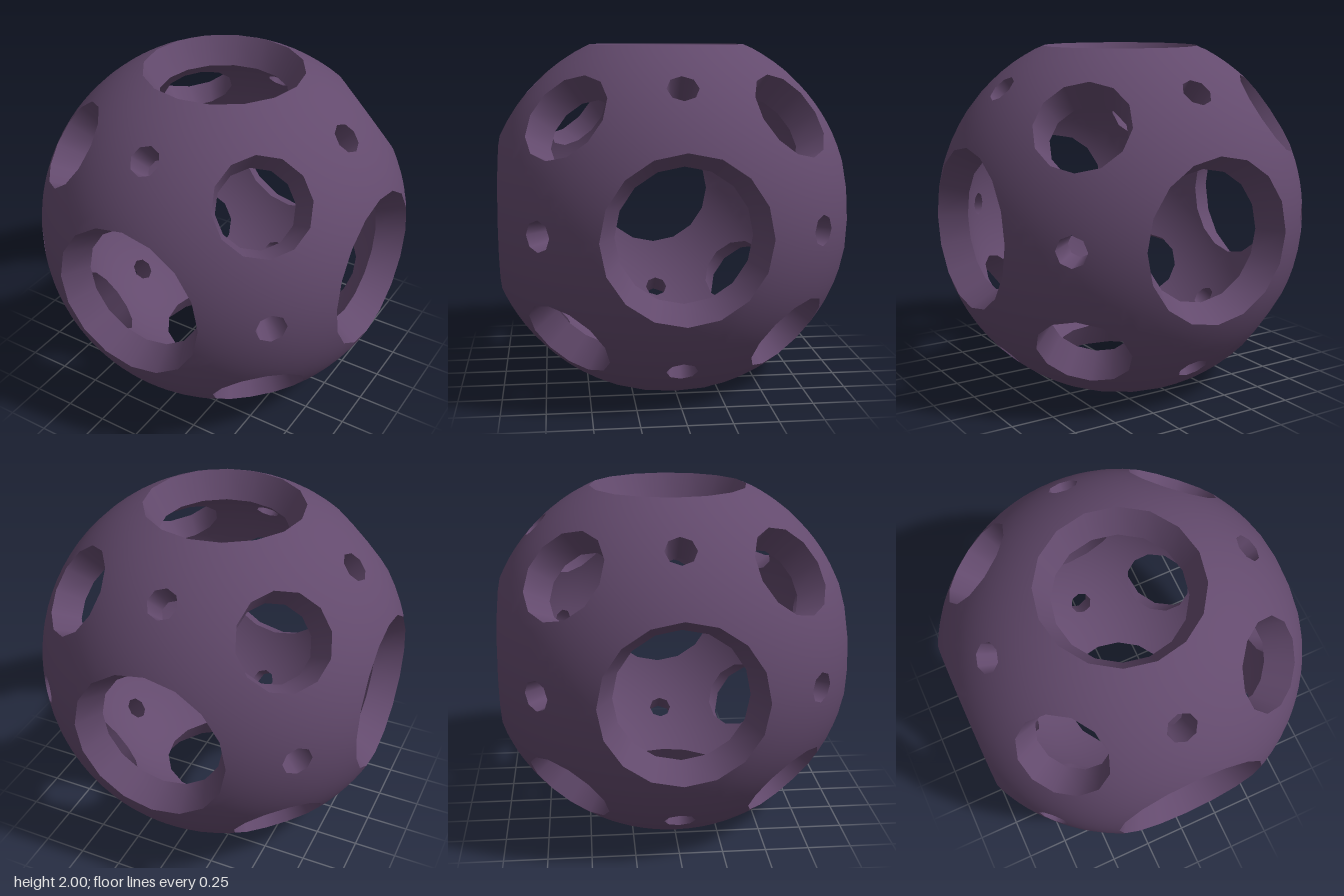
import * as THREE from 'three';

const OUTER = Math.hypot(1, 0.46); // big rims touch the unit cube
const INNER = 0.922;

const A = new THREE.Vector3(0, 0, 1);             // big hole
const C = new THREE.Vector3(1, 1, 1).normalize(); // medium hole
const E = new THREE.Vector3(0, 1, 1).normalize(); // small hole
const OUTER_RIMS = [0.46, 0.27, 0.088];
const INNER_RIMS = [0.372, 0.22, 0.07];
const PERMS = [[0, 1, 2], [1, 2, 0], [2, 0, 1], [0, 2, 1], [2, 1, 0], [1, 0, 2]]; // last three are odd
const SIGNS = [1, -1];

// direction perpendicular to a, pointing toward b
const tangent = (a, b) => b.clone().addScaledVector(a, -a.dot(b)).normalize();

// boundary of one 48th of the perforated sphere: rim arcs joined by great circles
function boundary(R, rims) {
  const centres = [A, C, E];
  const arcs = centres.map((c, i) => {
    const s = rims[i] / R, k = Math.sqrt(1 - s * s);
    const t0 = tangent(c, centres[(i + 2) % 3]), t1 = tangent(c, centres[(i + 1) % 3]);
    return [t0, t0.clone().add(t1).normalize(), t1].map(t => c.clone().multiplyScalar(k).addScaledVector(t, s));
  });
  const loop = [];
  arcs.forEach((arc, i) => {
    const next = arcs[(i + 1) % 3][0];
    loop.push(...arc);
    for (const t of [1 / 3, 2 / 3]) loop.push(arc[2].clone().lerp(next, t).normalize());
  });
  return loop;
}

// perforated sphere from 48 mirrored patches; side = 1 faces out, -1 faces in
function perforatedSphere(R, rims, side) {
  const loop = boundary(R, rims), n = loop.length, rings = 3;
  const mid = A.clone().multiplyScalar(0.27).addScaledVector(C, 0.31).addScaledVector(E, 0.42).normalize();
  const pts = [mid], tris = [];
  for (let r = 1; r <= rings; r++)
    for (const p of loop) pts.push(mid.clone().lerp(p, r / rings).normalize());
  for (let i = 0; i < n; i++) {
    const j = (i + 1) % n;
    tris.push([0, 1 + i, 1 + j]);
    for (let r = 0; r < rings - 1; r++) {
      const a = 1 + r * n + i, b = 1 + r * n + j;
      tris.push([a, a + n, b + n], [a, b + n, b]);
    }
  }
  const pos = [], nor = [], idx = [];
  PERMS.forEach((perm, k) => {
    for (const sx of SIGNS) for (const sy of SIGNS) for (const sz of SIGNS) {
      const base = pos.length / 3, s = [sx, sy, sz];
      const keep = (k < 3 ? 1 : -1) * sx * sy * sz * side > 0;
      for (const p of pts) {
        const q = p.toArray();
        for (let c = 0; c < 3; c++) {
          const v = q[perm[c]] * s[c];
          pos.push(v * R);
          nor.push(v * side);
        }
      }
      for (const [a, b, c] of tris) idx.push(base + a, base + (keep ? b : c), base + (keep ? c : b));
    }
  });
  const g = new THREE.BufferGeometry();
  g.setAttribute('position', new THREE.Float32BufferAttribute(pos, 3));
  g.setAttribute('normal', new THREE.Float32BufferAttribute(nor, 3));
  g.setIndex(idx);
  return g;
}

// tapered tube wall joining the outer and inner rims, facing its own axis
function holeWall(kind, sides) {
  const ro = OUTER_RIMS[kind], ri = INNER_RIMS[kind];
  return new THREE.LatheGeometry([
    new THREE.Vector2(ro, Math.sqrt(OUTER * OUTER - ro * ro)),
    new THREE.Vector2(ri, Math.sqrt(INNER * INNER - ri * ri)),
  ], sides);
}

export function createModel() {
  const purple = new THREE.MeshStandardMaterial({ color: 0x634a6d });
  purple.name = 'dusky purple';
  const model = new THREE.Group();
  model.name = 'perforatedBall';
  const ball = new THREE.Group();
  ball.name = 'hollowShell';
  ball.position.y = 1;
  model.add(ball);

  const add = (name, geometry) => {
    const mesh = new THREE.Mesh(geometry, purple);
    mesh.name = name;
    ball.add(mesh);
    return mesh;
  };
  add('outerShell', perforatedSphere(OUTER, OUTER_RIMS, 1));
  add('innerShell', perforatedSphere(INNER, INNER_RIMS, -1));

  // hole walls along the 6 face, 8 corner and 12 edge directions of a cube
  const walls = [
    ['bigHoleWall', holeWall(0, 16)],
    ['mediumHoleWall', holeWall(1, 12)],
    ['smallHoleWall', holeWall(2, 8)],
  ];
  const kindByCount = [null, 0, 2, 1];
  for (let x = -1; x <= 1; x++) for (let y = -1; y <= 1; y++) for (let z = -1; z <= 1; z++) {
    const count = Math.abs(x) + Math.abs(y) + Math.abs(z);
    if (!count) continue;
    const [name, geometry] = walls[kindByCount[count]];
    const axis = new THREE.Vector3(x, y, z).normalize();
    // line a polygon corner up with a mirror plane
    const ref = count === 1 ? new THREE.Vector3(y, z, x)
      : count === 2 ? new THREE.Vector3(x ? 0 : 1, y ? 0 : 1, z ? 0 : 1)
      : new THREE.Vector3(x, 0, 0);
    const t = tangent(axis, ref);
    const basis = new THREE.Matrix4().makeBasis(axis.clone().cross(t), axis, t);
    add(name, geometry).quaternion.setFromRotationMatrix(basis);
  }
  return model;
}
